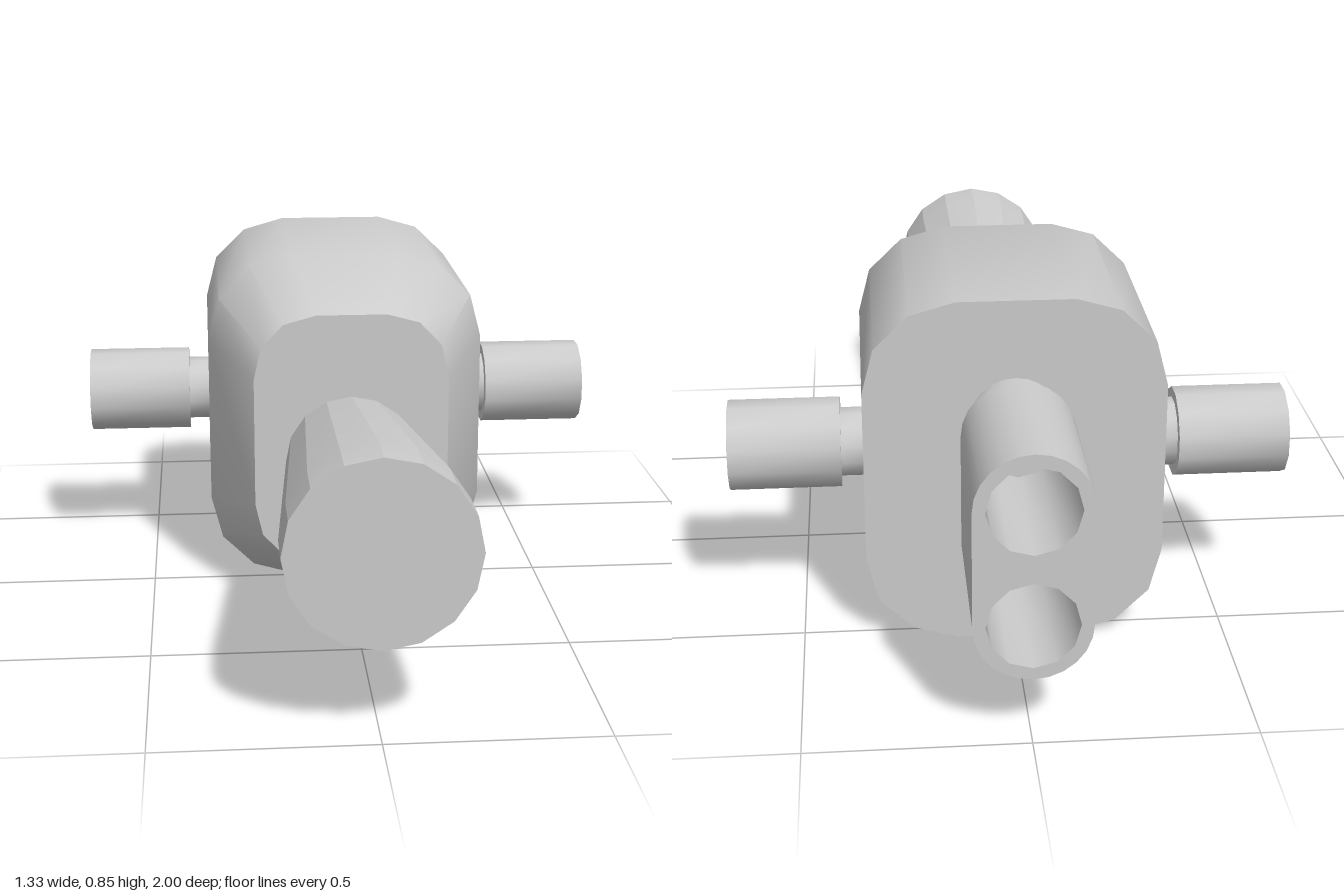
import * as THREE from 'three';
import { toCreasedNormals } from 'three/addons/utils/BufferGeometryUtils.js';

const MID = 0.43; // height of the main axis
const material = new THREE.MeshStandardMaterial({ color: 0xcccccc });

function part(name, geometry, crease = 0.7) {
  const mesh = new THREE.Mesh(toCreasedNormals(geometry, crease), material);
  mesh.name = name;
  return mesh;
}

// Joins equal-length rings (counter-clockwise seen from +z, ordered back to front) and caps both ends
function loft(rings) {
  const n = rings[0].length;
  const positions = rings.flat(2);
  const index = [];
  for (let r = 0; r < rings.length - 1; r++) {
    for (let i = 0; i < n; i++) {
      const a = r * n + i, b = r * n + (i + 1) % n;
      index.push(a, b, b + n, a, b + n, a + n);
    }
  }
  const last = (rings.length - 1) * n;
  for (let i = 1; i < n - 1; i++) {
    index.push(0, i + 1, i);
    index.push(last, last + i, last + i + 1);
  }
  const geometry = new THREE.BufferGeometry();
  geometry.setAttribute('position', new THREE.Float32BufferAttribute(positions, 3));
  geometry.setIndex(index);
  return geometry;
}

// Mirrors one rounded corner (ordered from side to top) into a full outline
function roundedRing(corner, z) {
  const back = [...corner].reverse();
  return [
    ...corner.map(([x, y]) => [x, y]),
    ...back.map(([x, y]) => [-x, y]),
    ...corner.map(([x, y]) => [-x, -y]),
    ...back.map(([x, y]) => [x, -y]),
  ].map(([x, y]) => [x, MID + y, z]);
}

function circleRing(radius, y, z, sides = 16) {
  return Array.from({ length: sides }, (_, i) => {
    const t = (i / sides) * Math.PI * 2;
    return [radius * Math.cos(t), y + radius * Math.sin(t), z];
  });
}

// Upright slot outline: two half circles joined by straight sides
function slot(radius, spread) {
  const shape = new THREE.Shape();
  shape.absarc(0, spread, radius, 0, Math.PI, false);
  shape.absarc(0, -spread, radius, Math.PI, Math.PI * 2, false);
  shape.closePath();
  return shape;
}

function extrude(shape, z0, z1) {
  const geometry = new THREE.ExtrudeGeometry(shape, { depth: z1 - z0, bevelEnabled: false, curveSegments: 6 });
  return geometry.translate(0, MID, z0);
}

export function createModel() {
  const model = new THREE.Group();
  model.name = 'nozzleUnit';

  // Rounded housing with a tapered front
  const wide = [[0.348, 0.21], [0.32, 0.318], [0.24, 0.396], [0.135, 0.426]];
  const narrow = [[0.24, 0.16], [0.222, 0.24], [0.167, 0.298], [0.087, 0.32]];
  model.add(part('housing', loft([
    roundedRing(wide, -0.545),
    roundedRing(wide, -0.01),
    roundedRing(narrow, 0.2),
  ])));

  // Faceted front horn, flat along its underside
  model.add(part('frontHorn', loft([
    circleRing(0.162, 0.381, 0.19),
    circleRing(0.212, MID, 0.89),
    circleRing(0.212, MID, 1),
  ]), 0.15));

  // Double barrel at the back, on a narrower collar that closes its bores
  const SPREAD = 0.135;
  const barrel = slot(0.13, SPREAD);
  for (const s of [-1, 1]) {
    const bore = new THREE.Path();
    bore.absarc(0, s * SPREAD, 0.102, 0, Math.PI * 2, true);
    barrel.holes.push(bore);
  }
  model.add(part('rearCollar', extrude(slot(0.105, SPREAD), -0.63, -0.54)));
  model.add(part('rearDoubleBarrel', extrude(barrel, -1, -0.625)));

  // Hollow side pipes: collar, step, sleeve, rim, bore and floor
  const profile = [
    [0.083, 0.33], [0.083, 0.4], [0.109, 0.4], [0.109, 0.665],
    [0.08, 0.665], [0.08, 0.45], [0, 0.45],
  ].map(([r, h]) => new THREE.Vector2(r, h));
  for (const [name, side] of [['leftPipe', 1], ['rightPipe', -1]]) {
    const geometry = new THREE.LatheGeometry(profile, 12, Math.PI / 12);
    geometry.rotateZ(-side * Math.PI / 2).translate(0, MID, -0.335);
    model.add(part(name, geometry));
  }

  return model;
}
